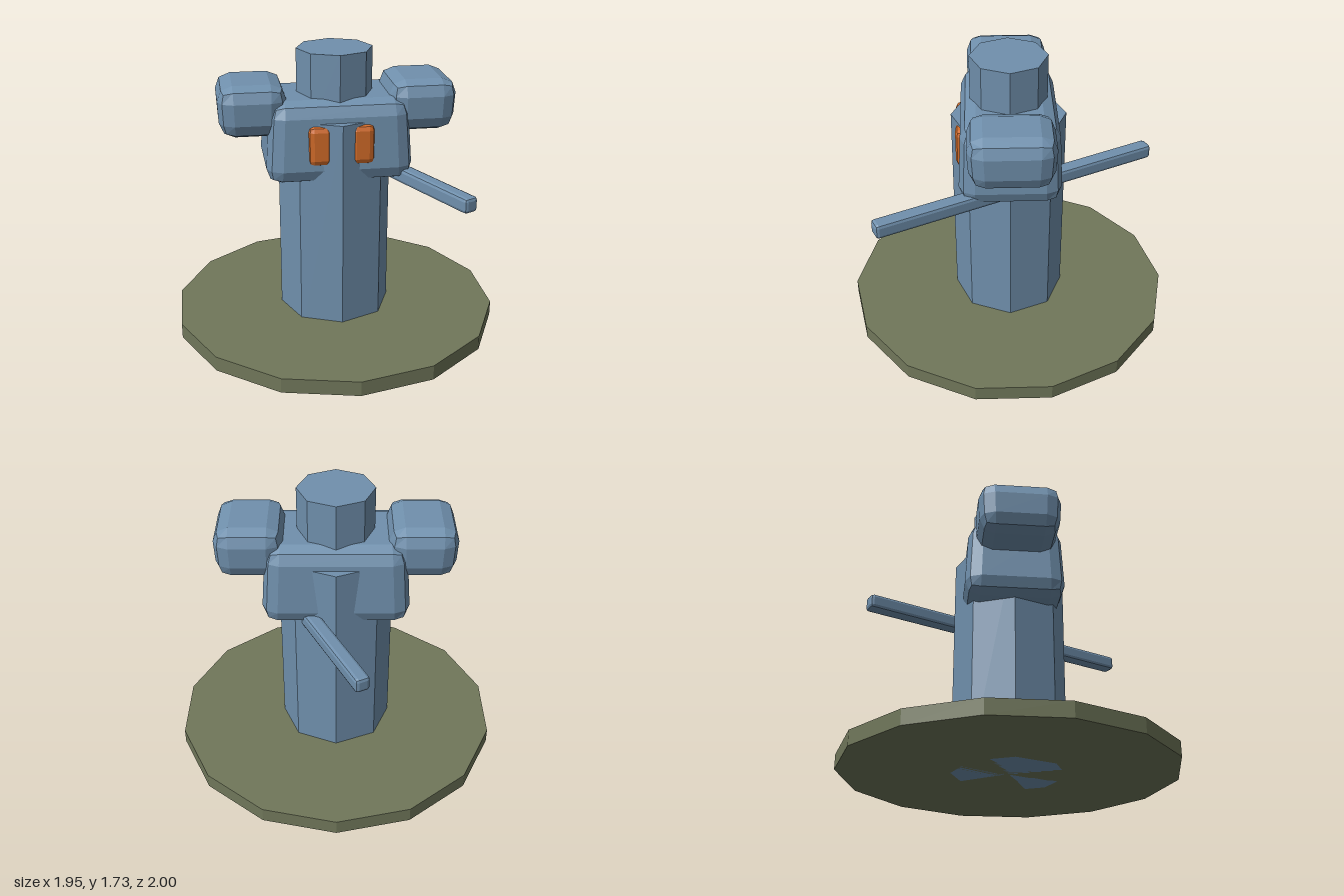
import * as THREE from 'three';
import { RoundedBoxGeometry } from 'three/addons/geometries/RoundedBoxGeometry.js';

const material = (color) => new THREE.MeshStandardMaterial({ color, flatShading: true });

// Upright faceted drum between two heights
function drum(name, radius, y0, y1, sides, mat) {
  const mesh = new THREE.Mesh(new THREE.CylinderGeometry(radius, radius, y1 - y0, sides), mat);
  mesh.name = name;
  mesh.position.y = (y0 + y1) / 2;
  return mesh;
}

// Box with two-step bevels; taper scales x and z from 1 + taper at the bottom to 1 - taper at the top
function block(name, size, position, bevel, mat, taper = 0) {
  const geometry = new RoundedBoxGeometry(...size, 1, bevel);
  const p = geometry.attributes.position;
  for (let i = 0; i < p.count; i++) {
    const s = 1 - taper * p.getY(i) / (size[1] / 2);
    p.setX(i, p.getX(i) * s);
    p.setZ(i, p.getZ(i) * s);
  }
  geometry.computeVertexNormals();
  const mesh = new THREE.Mesh(geometry, mat);
  mesh.name = name;
  mesh.position.set(...position);
  return mesh;
}

export function createModel() {
  const model = new THREE.Group();
  model.name = 'figure';
  const blue = material(0x7090ad);
  const olive = material(0x70775a);
  const orange = material(0xd06a28);

  // Round base, column and head
  model.add(drum('base', 1, 0, 0.09, 14, olive));
  model.add(drum('column', 0.34, 0, 1.35, 8, blue));
  model.add(drum('head', 0.227, 1.3, 1.73, 8, blue));

  // Torso, slightly wider at the bottom
  model.add(block('torso', [0.84, 0.49, 0.58], [0, 1.225, 0], 0.09, blue, 0.04));

  // Shoulders and chest plates, mirrored
  for (const [side, s] of [['left', 1], ['right', -1]]) {
    model.add(block(`${side}Shoulder`, [0.39, 0.31, 0.48], [s * 0.5, 1.405, 0], 0.09, blue, -0.04));
    model.add(block(`${side}ChestPlate`, [0.145, 0.24, 0.09], [s * 0.122, 1.22, 0.268], 0.035, orange));
  }

  // Long bar passing diagonally through the body
  const bar = block('bar', [0.09, 0.09, 1.81], [0.25, 1, -0.05], 0.02, blue);
  bar.rotation.y = Math.atan2(0.79, 1.63);
  model.add(bar);

  return model;
}
